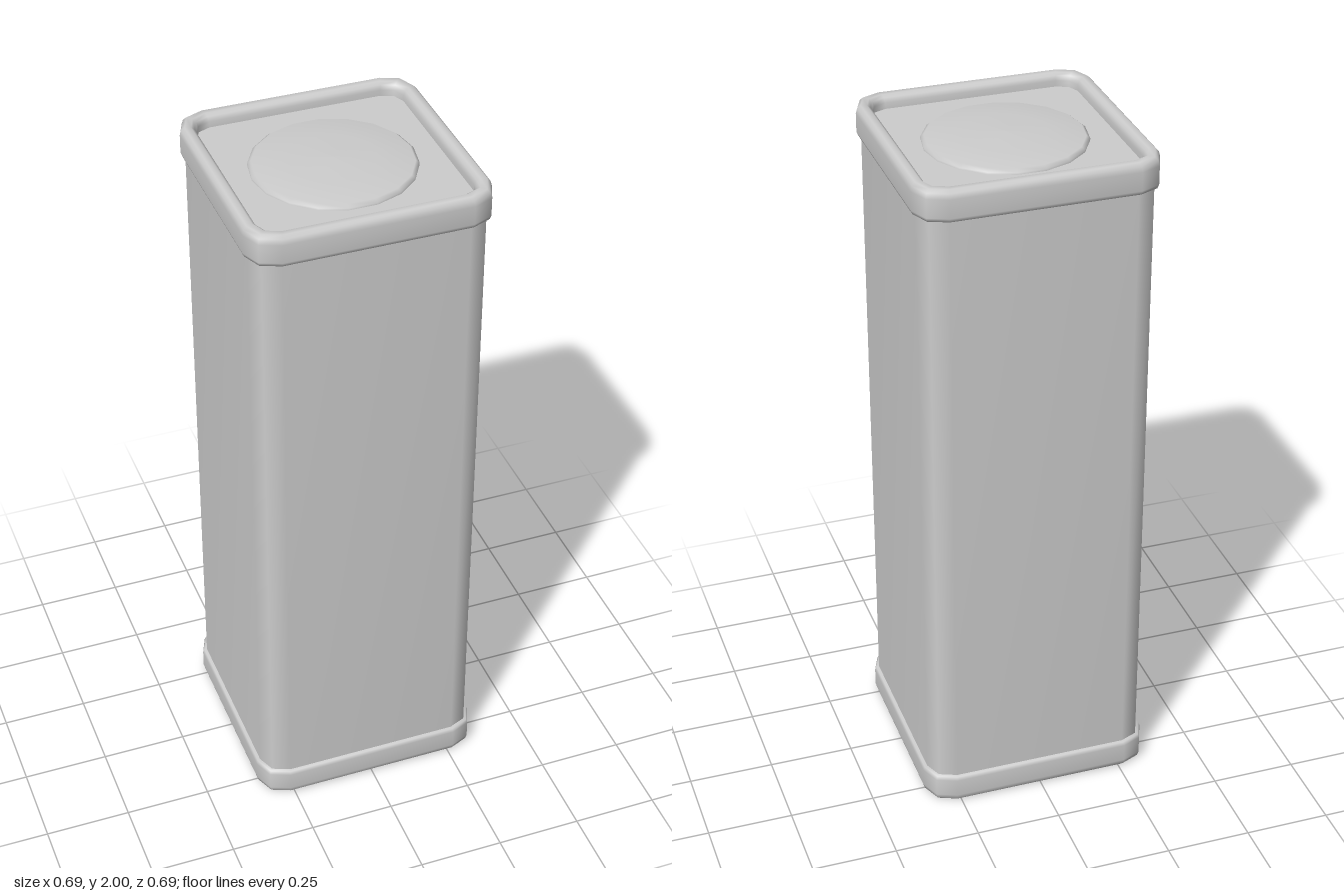
import * as THREE from 'three';

const INNER = 0.3, OUTER = 0.345, BODY = 0.333;
const PANEL_Y = 1.962;

// Outline of a rounded square: two segments per corner
function outline(half) {
  const r = Math.max(0, Math.min(half, 0.05 + 0.67 * (half - INNER)));
  const pts = [];
  for (let c = 0; c < 4; c++) {
    const mid = Math.PI / 4 + c * Math.PI / 2;
    const cx = Math.sign(Math.cos(mid)) * (half - r);
    const cz = Math.sign(Math.sin(mid)) * (half - r);
    for (let s = 0; s < 3; s++) {
      const a = c * Math.PI / 2 + s * Math.PI / 4;
      pts.push([cx + r * Math.cos(a), cz + r * Math.sin(a)]);
    }
  }
  return pts;
}

// Sweep a profile of [half width, height] pairs around the rounded square
function squareLoft(profile) {
  const n = 12, pos = [], idx = [];
  for (const [half, y] of profile)
    for (const [x, z] of outline(half)) pos.push(x, y, z);
  for (let j = 0; j < profile.length - 1; j++)
    for (let i = 0; i < n; i++) {
      const a = j * n + i, b = j * n + (i + 1) % n;
      idx.push(a, a + n, b, b, a + n, b + n);
    }
  const g = new THREE.BufferGeometry();
  g.setAttribute('position', new THREE.Float32BufferAttribute(pos, 3));
  g.setIndex(idx);
  g.computeVertexNormals();
  return g;
}

// Turn a top profile into the matching bottom one
const flip = (profile) => profile.map(([h, y]) => [h, 2 - y]).reverse();

export function createModel() {
  const model = new THREE.Group();
  model.name = 'squareCan';
  const metal = new THREE.MeshStandardMaterial({ color: 0xcccccc });
  metal.name = 'paleGreyMetal';

  const add = (name, geometry) => {
    const mesh = new THREE.Mesh(geometry, metal);
    mesh.name = name;
    model.add(mesh);
  };

  // Tall body
  add('body', squareLoft([[BODY, 0.05], [BODY, 1.95]]));

  // Rounded rims and the recessed end panels
  const rim = [
    [BODY - 0.005, 1.908], [0.341, 1.911], [OUTER, 1.922], [OUTER, 1.976],
    [0.341, 1.991], [0.332, 2], [0.315, 2], [0.306, 1.993],
    [INNER, 1.98], [INNER, PANEL_Y - 0.01],
  ];
  const panel = [[INNER + 0.005, PANEL_Y], [0, PANEL_Y]];
  add('topRim', squareLoft(rim));
  add('bottomRim', squareLoft(flip(rim)));
  add('topPanel', squareLoft(panel));
  add('bottomPanel', squareLoft(flip(panel)));

  // Slightly domed round lid
  const lid = [[0.23, PANEL_Y - 0.005], [0.23, 1.968], [0.22, 1.976], [0.12, 1.984], [0, 1.987]];
  add('lid', new THREE.LatheGeometry(
    lid.map(([x, y]) => new THREE.Vector2(x, y)), 18, Math.PI / 2));

  return model;
}
